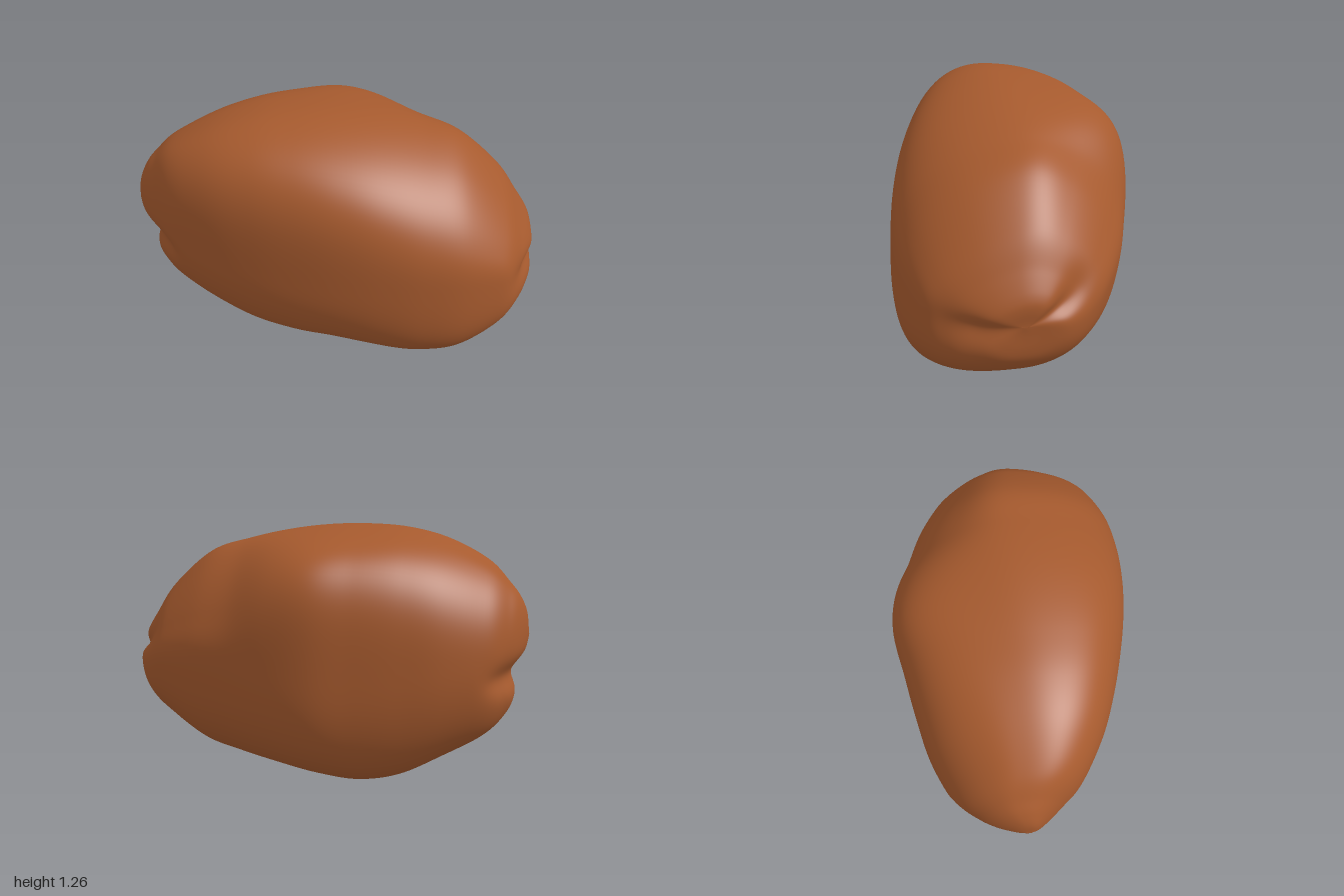
import * as THREE from 'three';

// cross-sections along the length: x, top, bottom, back z, front z
const sections = [
  [-1.0, 0.76, 0.74, -0.05, -0.03],
  [-0.985, 0.87, 0.62, -0.11, 0.01],
  [-0.95, 0.95, 0.46, -0.2, 0.06],
  [-0.9, 1.01, 0.35, -0.28, 0.12],
  [-0.8, 1.1, 0.25, -0.385, 0.225],
  [-0.6, 1.195, 0.135, -0.48, 0.35],
  [-0.4, 1.245, 0.035, -0.53, 0.435],
  [-0.2, 1.26, 0.0, -0.565, 0.5],
  [0.0, 1.255, 0.025, -0.595, 0.55],
  [0.2, 1.23, 0.055, -0.575, 0.58],
  [0.4, 1.185, 0.08, -0.52, 0.585],
  [0.6, 1.12, 0.12, -0.45, 0.555],
  [0.8, 0.955, 0.23, -0.34, 0.47],
  [0.9, 0.82, 0.305, -0.245, 0.37],
  [0.96, 0.73, 0.385, -0.155, 0.26],
  [0.99, 0.67, 0.46, -0.07, 0.17],
  [1.0, 0.59, 0.57, 0.04, 0.06],
];

// corner squareness: x, front top, front bottom, back top, back bottom
const corners = [
  [-1.0, 2.2, 2.0, 2.0, 2.1],
  [-0.7, 3.1, 2.4, 2.4, 2.3],
  [-0.2, 3.4, 2.6, 3.5, 2.9],
  [0.05, 3.2, 2.8, 3.8, 3.0],
  [0.4, 2.6, 3.2, 2.1, 2.8],
  [0.8, 2.1, 3.0, 1.65, 2.5],
  [1.0, 2.0, 2.2, 1.8, 2.0],
];

const { smoothstep, lerp } = THREE.MathUtils;
const bump = (d, width) => Math.exp(-((d / width) ** 2));
const angleGap = (a, b) => Math.atan2(Math.sin(a - b), Math.cos(a - b));
const softAbs = (d, soft) => Math.sqrt(d * d + soft * soft) - soft;
const interpolant = (keys, rows) =>
  new THREE.CubicInterpolant(keys, new Float32Array(rows.flat()), rows[0].length);

function createBodyGeometry() {
  const outline = interpolant(sections.map((s, i) => i / (sections.length - 1)), sections);
  const squareness = interpolant(corners.map((c) => c[0]), corners);
  const rows = 144, cols = 144, positions = [], index = [];

  for (let i = 0; i <= rows; i++) {
    const [hx, top, bottom, back, front] = outline.evaluate(i / rows);
    const [, frontTop, frontBottom, backTop, backBottom] = squareness.evaluate(hx);
    const rightEnd = smoothstep(hx, 0.78, 1);
    const leftEnd = smoothstep(-hx, 0.74, 0.95);
    const pole = smoothstep(i / rows, 0.86, 1);
    const lean = (0.03 + 0.1 * hx) * (1 - rightEnd) * (1 - leftEnd);
    const tilt = 0.28 * bump(hx + 0.25, 0.45);

    for (let j = 0; j < cols; j++) {
      // rounded-square ring with a different squareness in each corner
      const a = (j / cols) * Math.PI * 2, c = Math.cos(a), s = Math.sin(a);
      const toFront = smoothstep(c, -0.5, 0.5), toTop = smoothstep(s, -0.5, 0.5);
      const n = lerp(lerp(backBottom, backTop, toTop), lerp(frontBottom, frontTop, toTop), toFront);
      const r = (Math.abs(c) ** n + Math.abs(s) ** n) ** (-1 / n);
      let y = (top + bottom) / 2 + (r * s * (top - bottom)) / 2;
      const z = (back + front) / 2 + (r * c * (front - back)) / 2 - lean * (y - 0.63);
      // top falls away to both sides like a shallow roof
      y -= 0.2 * softAbs(z + 0.12 * hx, 0.14) * Math.max(0, s) ** 1.5;
      // underside rises towards the front
      const ahead = z + 0.04;
      y += tilt * 0.5 * (ahead + softAbs(ahead, 0.08)) * Math.max(0, -s) ** 1.5 * toFront;
      // creases and a ridge drawn into the pinched right end
      const crease = Math.max(bump(angleGap(a, 0.05), 0.4), bump(angleGap(a, 2.55), 0.26));
      let x = hx - 0.045 * rightEnd * lerp(crease, 0.5, pole);
      x += 0.012 * rightEnd * (1 - pole) * bump(angleGap(a, -0.7), 0.45);
      // notch across the left end
      x += 0.055 * leftEnd * bump(y - 0.57, 0.075);
      positions.push(x, y, z);
    }
  }
  for (let i = 0; i < rows; i++) {
    for (let j = 0; j < cols; j++) {
      const k = (j + 1) % cols;
      const a = i * cols + j, b = i * cols + k, c = a + cols, e = b + cols;
      index.push(a, c, b, b, c, e);
    }
  }
  // close both tips
  const last = rows * cols;
  for (let j = 1; j < cols - 1; j++) {
    index.push(0, j, j + 1, last, last + j + 1, last + j);
  }

  const geometry = new THREE.BufferGeometry();
  geometry.setAttribute('position', new THREE.Float32BufferAttribute(positions, 3));
  geometry.setIndex(index);

  // centre and stand on the ground
  geometry.computeBoundingBox();
  const { min, max } = geometry.boundingBox;
  geometry.translate(-(min.x + max.x) / 2, -min.y, -(min.z + max.z) / 2);
  geometry.computeVertexNormals();
  return geometry;
}

export function createModel() {
  const model = new THREE.Group();
  model.name = 'lump';
  const skin = new THREE.MeshStandardMaterial({ color: 0xa65a2e });
  skin.name = 'russet brown';
  const body = new THREE.Mesh(createBodyGeometry(), skin);
  body.name = 'body';
  model.add(body);
  return model;
}
